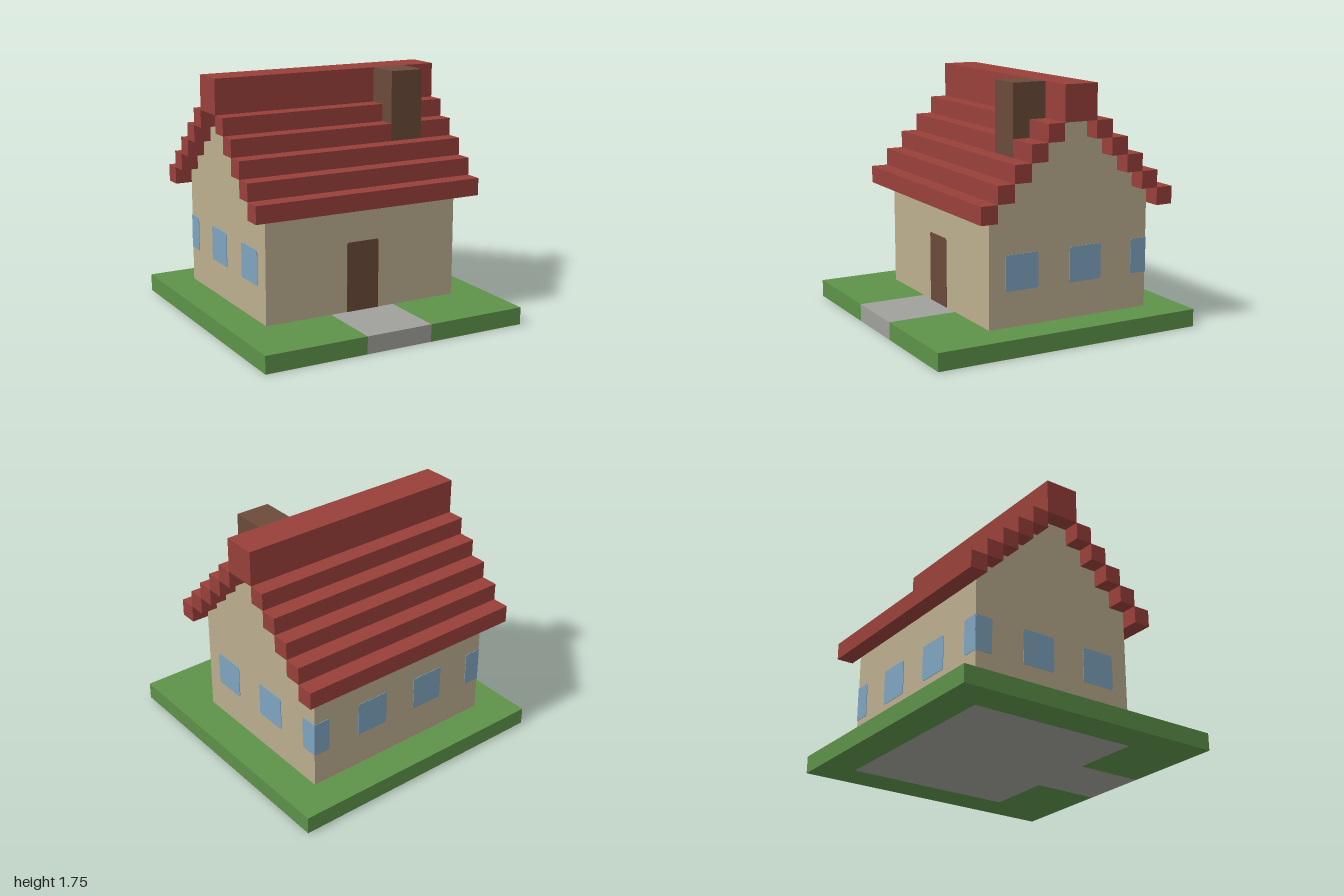
import * as THREE from 'three';

const U = 0.125; // block size
const mat = (name, color) => Object.assign(new THREE.MeshStandardMaterial({ color }), { name });
const shapeOf = pts => new THREE.Shape(pts.map(([x, y]) => new THREE.Vector2(x, y)));

export function createModel() {
  const model = new THREE.Group();
  model.name = 'house';
  const grass = mat('grass green', 0x5d9249);
  const stone = mat('stone grey', 0xa0a09b);
  const plaster = mat('plaster beige', 0xbbad8e);
  const tile = mat('tile red', 0x98403a);
  const brown = mat('dark brown', 0x6b4a3a);
  const glass = mat('glass blue', 0x7ea4bf);

  const add = (name, geometry, material, parent = model) => {
    const mesh = new THREE.Mesh(geometry, material);
    mesh.name = name;
    parent.add(mesh);
    return mesh;
  };
  // box given by its lower and upper limits
  const block = (name, material, [x0, x1], [y0, y1], [z0, z1], parent) =>
    add(name, new THREE.BoxGeometry(x1 - x0, y1 - y0, z1 - z0), material, parent)
      .position.set((x0 + x1) / 2, (y0 + y1) / 2, (z0 + z1) / 2);
  // flat slab from a plan outline, points are (x, -z)
  const slab = (name, material, pts) =>
    add(name, new THREE.ExtrudeGeometry(shapeOf(pts), { depth: U, bevelEnabled: false }).rotateX(-Math.PI / 2), material);

  // ground: lawn around a stone floor and path
  const floorEdge = [[0.25, -1], [0.25, -0.5], [0.75, -0.5], [0.75, 0.75], [-0.75, 0.75], [-0.75, -0.5], [-0.25, -0.5], [-0.25, -1]];
  slab('floorAndPath', stone, floorEdge);
  slab('lawn', grass, [[1, -1], [1, 1], [-1, 1], [-1, -1], ...[...floorEdge].reverse()]);

  // walls with stepped gables, extruded along x
  const side = [[5 * U, U]];
  for (let i = 0; i < 5; i++) {
    const half = (5 - i) * U;
    if (i) side.push([half, (7 + i) * U]);
    side.push([half, (8 + i) * U]);
  }
  const profile = [...side, ...side.map(([u, y]) => [-u, y]).reverse()];
  add('walls', new THREE.ExtrudeGeometry(shapeOf(profile), { depth: 1.5, bevelEnabled: false })
    .translate(0, 0, -0.75).rotateY(Math.PI / 2), plaster).position.z = -U;

  // roof: stepped courses, with an opening for the chimney at the front
  const roof = new THREE.Group();
  roof.name = 'roof';
  model.add(roof);
  for (let i = 0; i < 5; i++) {
    const y = [(7 + i) * U, (8 + i) * U];
    const z = (4 - i) * U;
    block('backCourse', tile, [-0.875, 0.875], y, [-z - 3 * U, -z - 2 * U], roof);
    const spans = i < 3 ? [[-0.875, 0.875]] : [[-0.875, 0.375], [0.625, 0.875]];
    for (const x of spans) block('frontCourse', tile, x, y, [z, z + U], roof);
  }
  block('ridge', tile, [-0.875, 0.875], [1.5, 1.75], [-0.25, 0], roof);
  block('chimney', brown, [0.375, 0.625], [1.25, 1.75], [0, 0.25]);

  // thin plate with small cut corners on the chosen sides
  const plate = (x0, x1, y0, y1, cutLeft = true, cutRight = true) => {
    const l = cutLeft ? 0.01 : 0, r = cutRight ? 0.01 : 0;
    const pts = [[x0 + l, y0], [x1 - r, y0]];
    if (r) pts.push([x1, y0 + r], [x1, y1 - r]);
    pts.push([x1 - r, y1], [x0 + l, y1]);
    if (l) pts.push([x0, y1 - l], [x0, y0 + l]);
    return new THREE.ExtrudeGeometry(shapeOf(pts), { depth: 0.004, bevelEnabled: false });
  };
  add('door', plate(-U, U, 0.1, 0.625), brown).position.z = 0.5;

  // windows on the back and both sides, wrapping the back corners
  const back = new THREE.Group();
  back.name = 'backWindows';
  back.position.z = -0.75;
  back.rotation.y = Math.PI;
  model.add(back);
  for (const s of [-1, 1]) {
    add('window', plate(s * 0.25 - U, s * 0.25 + U, 0.375, 0.625), glass, back);
    const inner = s * 0.625, outer = s * 0.75;
    add('cornerWindow', plate(Math.min(inner, outer), Math.max(inner, outer), 0.375, 0.625, s > 0, s < 0), glass, back);

    const flank = new THREE.Group();
    flank.name = s > 0 ? 'leftWindows' : 'rightWindows';
    flank.position.x = s * 0.75;
    flank.rotation.y = s * Math.PI / 2;
    model.add(flank);
    for (const z of [0.25, -0.25]) add('window', plate(-s * z - U, -s * z + U, 0.375, 0.625), glass, flank);
    add('cornerWindow', plate(Math.min(inner, outer), Math.max(inner, outer), 0.375, 0.625, s > 0, s < 0), glass, flank);
  }
  return model;
}
